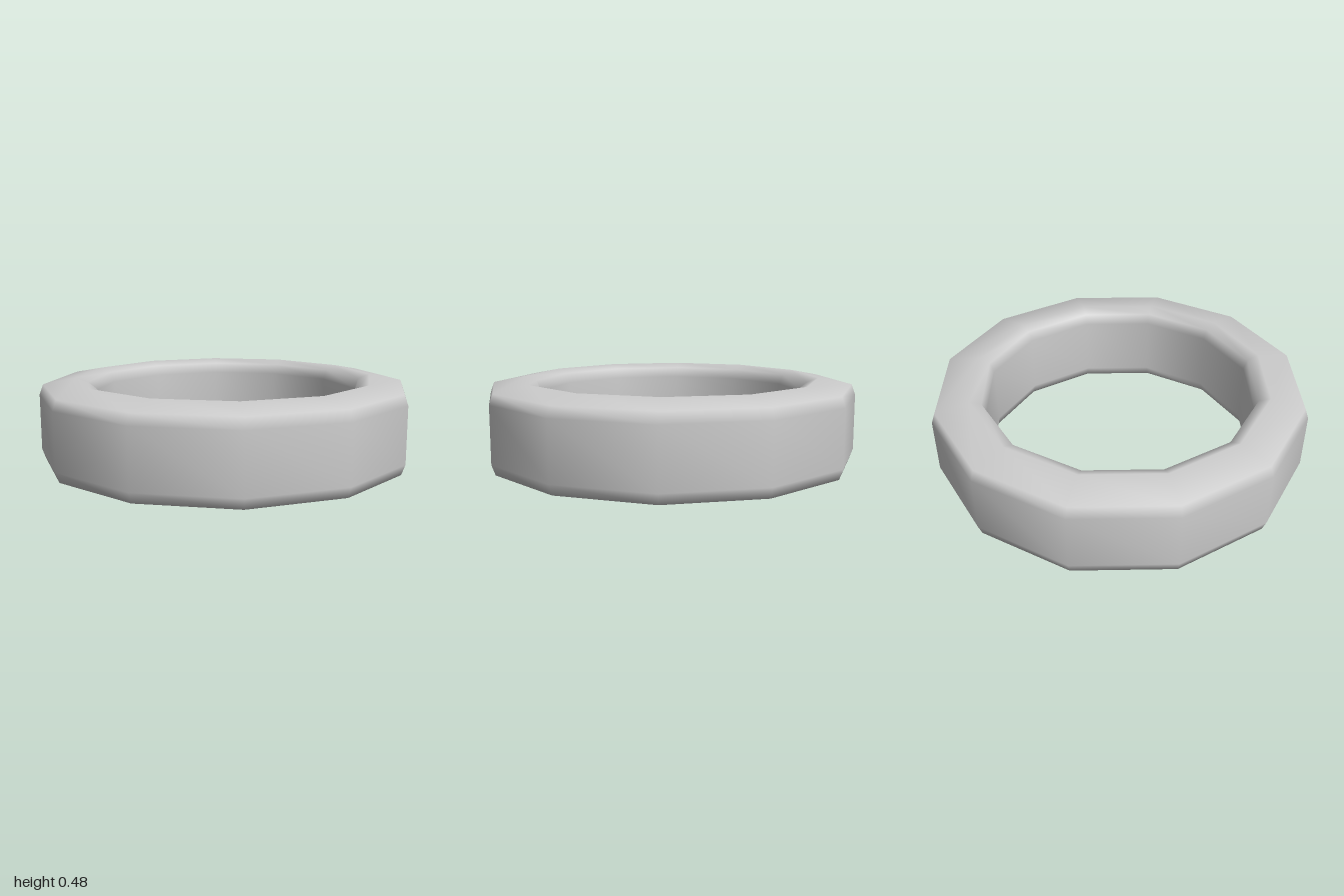
import * as THREE from 'three';
import { mergeVertices } from 'three/addons/utils/BufferGeometryUtils.js';

const HEIGHT = 0.48;
const SIDES = 12;

export function createModel() {
  const group = new THREE.Group();
  group.name = 'ringModel';

  // Upper half of the cross-section (radius, height), from outer wall to inner wall
  const upper = [[1, 0.39], [0.98, 0.445], [0.8, HEIGHT], [0.74, 0.455], [0.72, 0.4]];
  // Lower half mirrors it, closing the loop
  const lower = upper.map(([r, y]) => [r, HEIGHT - y]).reverse();
  const section = [...upper, ...lower, upper[0]].map(([r, y]) => new THREE.Vector2(r, y));

  // Twelve-sided band, welded so the shading runs smoothly over every edge
  const lathe = new THREE.LatheGeometry(section, SIDES);
  lathe.deleteAttribute('uv');
  lathe.deleteAttribute('normal');
  const geometry = mergeVertices(lathe);
  geometry.computeVertexNormals();

  const ring = new THREE.Mesh(geometry, new THREE.MeshStandardMaterial({ color: 0xcccccc }));
  ring.name = 'ringBand';
  group.add(ring);
  return group;
}
